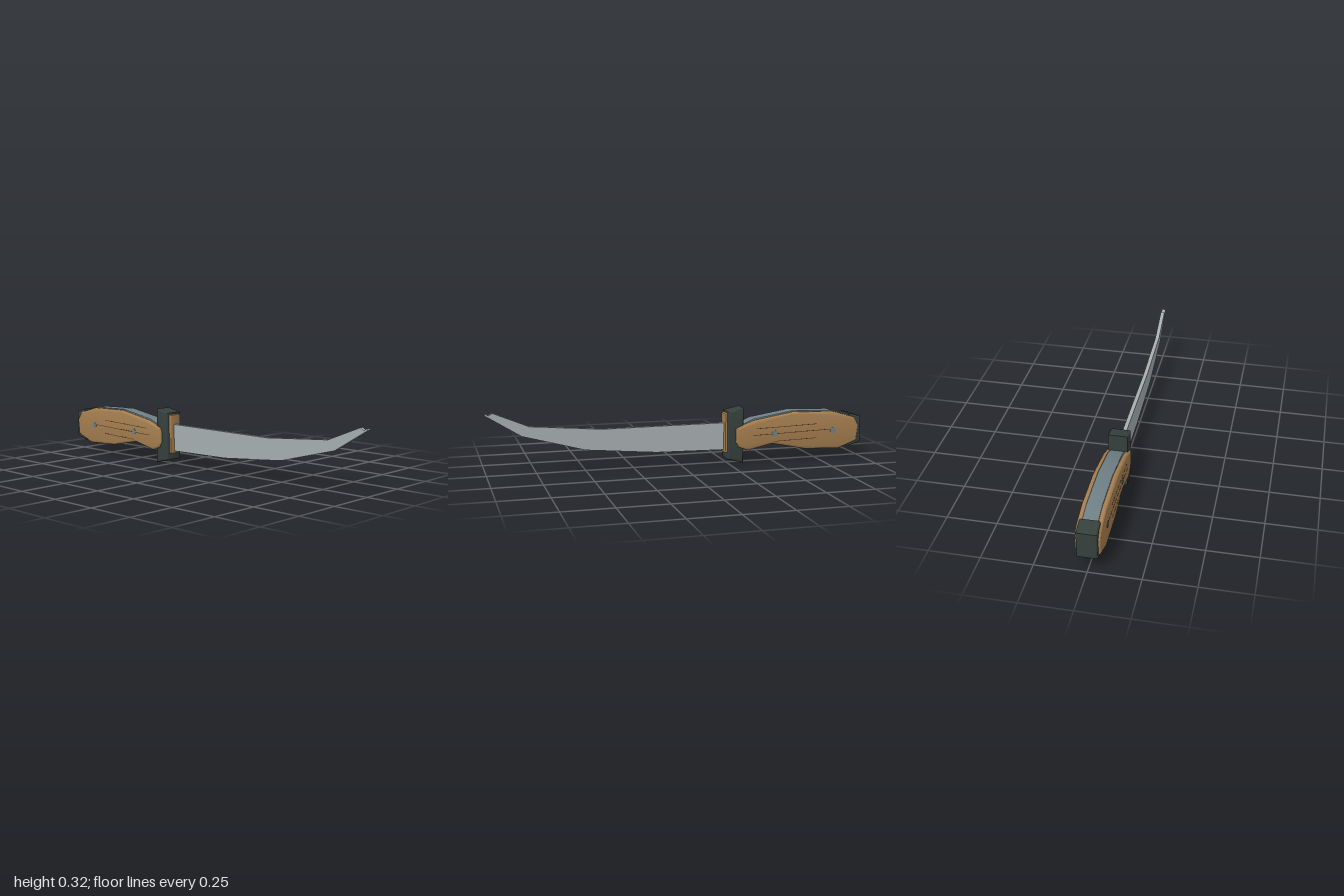
import * as THREE from 'three';
import { toCreasedNormals } from 'three/addons/utils/BufferGeometryUtils.js';

const mat = (name, color) => {
  const m = new THREE.MeshStandardMaterial({ color });
  m.name = name;
  return m;
};

// Plate with the outline pts in xy, filling z0..z1, with rounded rims kept inside the outline
function plate(name, pts, z0, z1, bevel, material) {
  const shape = new THREE.Shape(pts.map(([x, y]) => new THREE.Vector2(x, y)));
  let geo = new THREE.ExtrudeGeometry(shape, {
    depth: z1 - z0 - 2 * bevel,
    bevelEnabled: bevel > 0,
    bevelThickness: bevel,
    bevelSize: bevel,
    bevelOffset: -bevel,
    bevelSegments: 3,
  });
  geo.translate(0, 0, z0 + bevel);
  if (bevel > 0) geo = toCreasedNormals(geo, 0.6);
  const mesh = new THREE.Mesh(geo, material);
  mesh.name = name;
  return mesh;
}

export function createModel() {
  const steel = mat('blade steel', 0xa6aeb0);
  const spineSteel = mat('spine steel', 0x6f8086);
  const wood = mat('wood', 0xa67f50);
  const dark = mat('dark fittings', 0x35403c);
  const grain = mat('wood grain', 0x4a3722);

  const model = new THREE.Group();
  model.name = 'knife';

  // Upswept blade with a small notch at the tip
  model.add(plate('blade', [
    [-0.27, 0.068], [0.13, 0.075], [0.5, 0.108], [0.82, 0.195], [1, 0.308],
    [0.998, 0.318], [0.98, 0.307], [0.96, 0.318], [0.78, 0.242], [0.41, 0.211], [-0.27, 0.213],
  ], -0.0105, 0.0105, 0, steel));

  // Guard, collar and end cap
  model.add(plate('guard', [
    [-0.332, 0], [-0.247, 0.022], [-0.247, 0.275], [-0.332, 0.292],
  ], -0.05, 0.05, 0.008, dark));
  model.add(plate('collar', [
    [-0.27, 0.053], [-0.235, 0.058], [-0.235, 0.264], [-0.27, 0.27],
  ], -0.036, 0.036, 0.005, wood));
  model.add(plate('pommel', [
    [-1, 0.085], [-0.985, 0.073], [-0.93, 0.058], [-0.925, 0.24], [-0.95, 0.234], [-1, 0.218],
  ], -0.049, 0.049, 0.008, dark));

  // Steel core running through the grip
  model.add(plate('gripCore', [
    [-0.96, 0.1], [-0.87, 0.058], [-0.67, 0.066], [-0.49, 0.1], [-0.36, 0.074], [-0.3, 0.11],
    [-0.3, 0.19], [-0.39, 0.23], [-0.605, 0.264], [-0.83, 0.256], [-0.95, 0.222],
  ], -0.037, 0.037, 0.003, spineSteel));

  // Each side: wooden scale, two rivets and the grain lines
  const scale = [
    [-0.975, 0.09], [-0.87, 0.049], [-0.675, 0.058], [-0.49, 0.096], [-0.355, 0.066],
    [-0.305, 0.086], [-0.288, 0.115], [-0.29, 0.188], [-0.39, 0.224], [-0.605, 0.26],
    [-0.835, 0.253], [-0.955, 0.218], [-0.985, 0.172],
  ];
  const grainLines = [[-0.74, -0.4, 0.186], [-0.82, -0.38, 0.152], [-0.74, -0.5, 0.112]];
  for (const side of [1, -1]) {
    const grip = new THREE.Group();
    grip.name = side > 0 ? 'frontGrip' : 'backGrip';
    grip.add(plate('gripScale', scale, side > 0 ? 0.032 : -0.06, side > 0 ? 0.06 : -0.032, 0.012, wood));

    for (const x of [-0.835, -0.503]) {
      const rivet = new THREE.Mesh(new THREE.CylinderGeometry(0.017, 0.017, 0.006, 16), spineSteel);
      rivet.name = 'rivet';
      rivet.rotation.x = Math.PI / 2;
      rivet.position.set(x, 0.152, side * 0.0585);
      grip.add(rivet);
    }
    for (const [x0, x1, y] of grainLines) {
      const line = new THREE.Mesh(new THREE.BoxGeometry(x1 - x0, 0.003, 0.002), grain);
      line.name = 'grainLine';
      line.position.set((x0 + x1) / 2, y, side * 0.0595);
      line.rotation.z = -0.03;
      grip.add(line);
    }
    model.add(grip);
  }
  return model;
}
